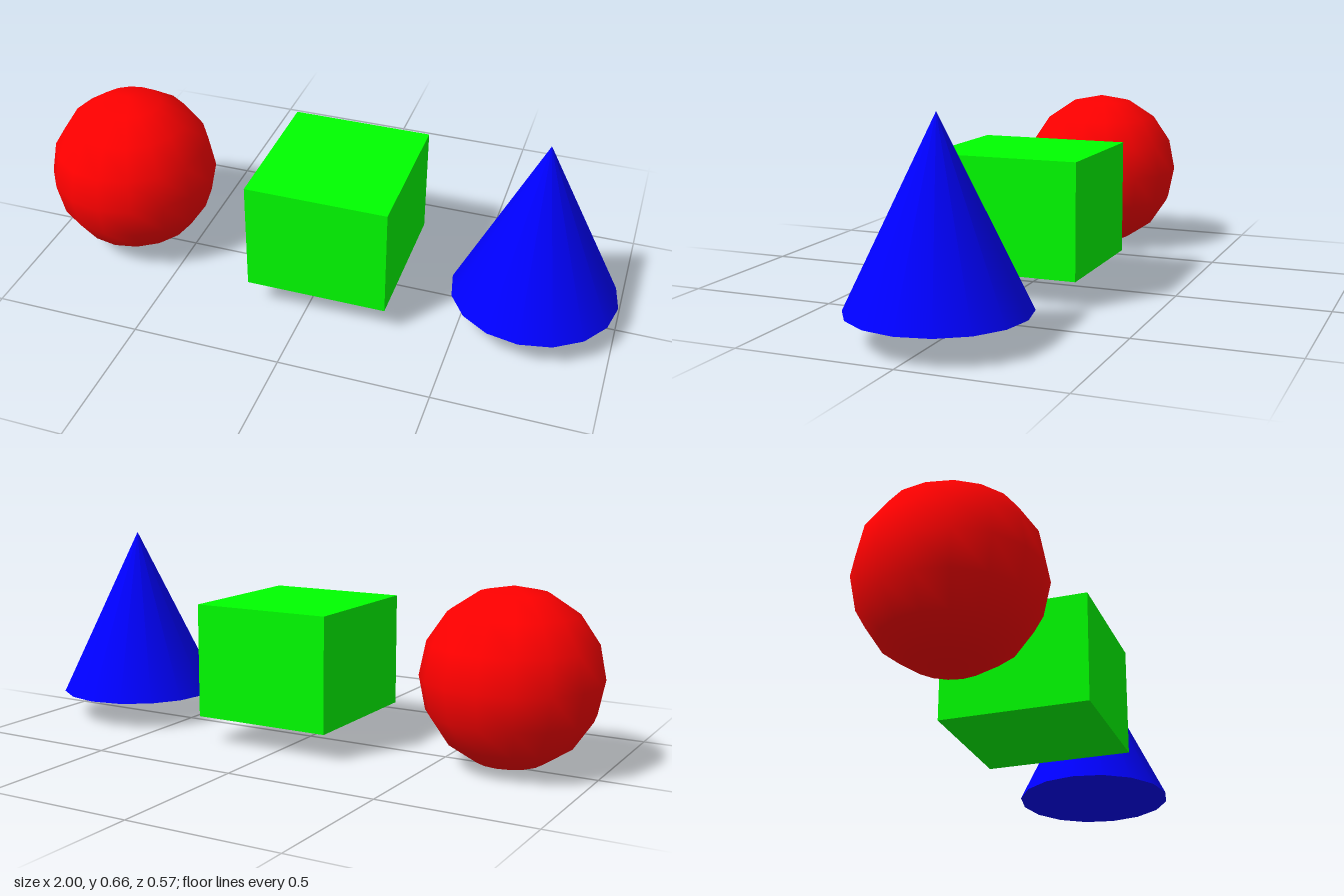
import * as THREE from 'three';

export function createModel() {
  const model = new THREE.Group();

  function addPart(name, geometry, color, x, y) {
    const mesh = new THREE.Mesh(geometry, new THREE.MeshStandardMaterial({ color }));
    mesh.name = name;
    mesh.position.set(x, y, 0);
    model.add(mesh);
  }

  // Three solids in a row: ball, block, cone
  addPart('ball', new THREE.SphereGeometry(0.285, 16, 8), 0xff0000, -0.715, 0.286);
  addPart('block', new THREE.BoxGeometry(0.475, 0.377, 0.506), 0x00ff00, 0.043, 0.279);
  addPart('cone', new THREE.ConeGeometry(0.276, 0.57, 16), 0x0000ff, 0.723, 0.376);

  return model;
}
